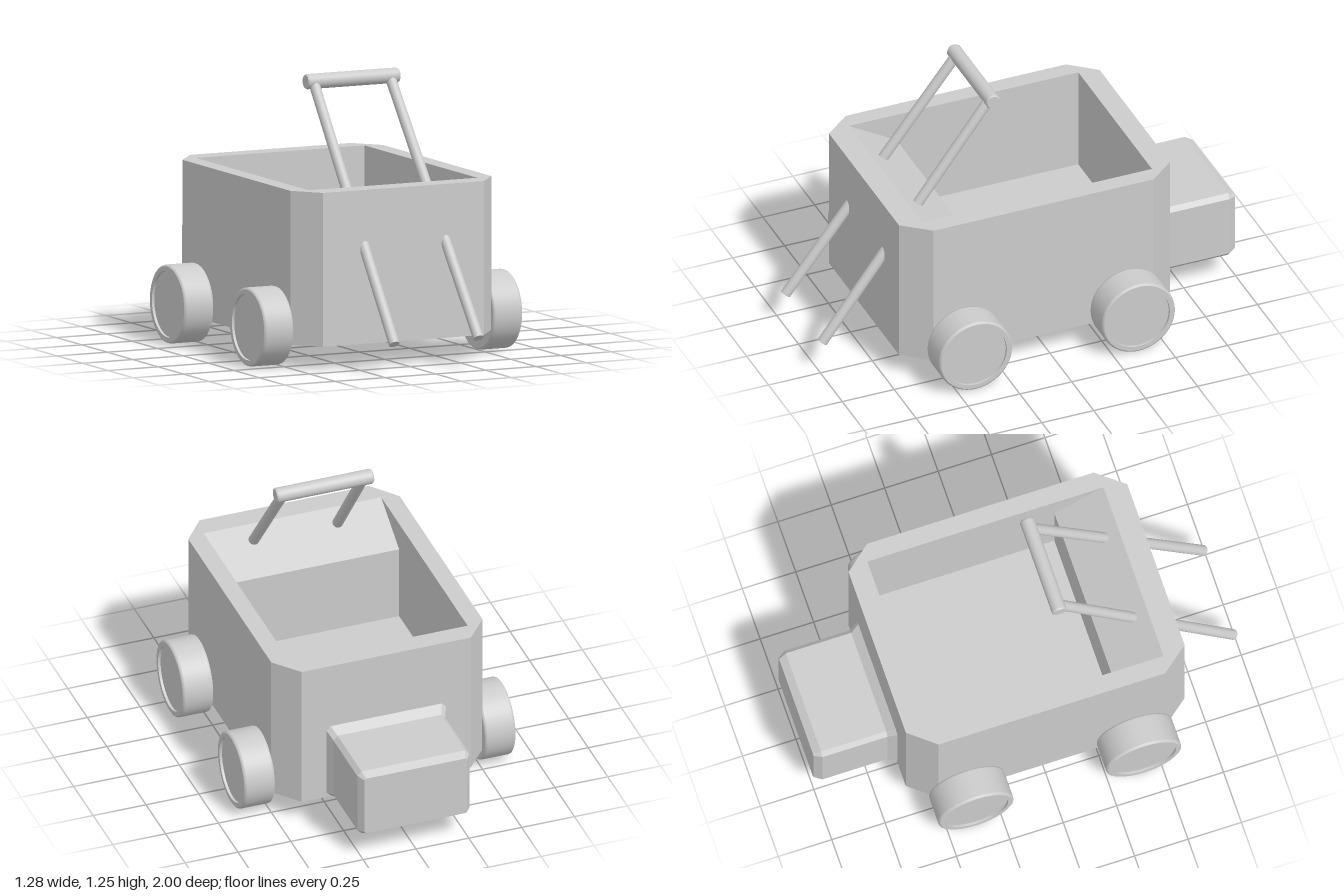
import * as THREE from 'three';

const grey = new THREE.MeshStandardMaterial({ color: 0xcccccc });
const flat = new THREE.MeshStandardMaterial({ color: 0xcccccc, flatShading: true });

function add(parent, name, geometry, material = grey) {
  const mesh = new THREE.Mesh(geometry, material);
  mesh.name = name;
  parent.add(mesh);
  return mesh;
}

const points = (list) => list.map(([a, b]) => new THREE.Vector2(a, b));

// Straight round rod between two points
function rod(a, b, radius) {
  const from = new THREE.Vector3(...a), to = new THREE.Vector3(...b);
  const dir = to.clone().sub(from);
  const geo = new THREE.CylinderGeometry(radius, radius, dir.length(), 24);
  geo.applyQuaternion(new THREE.Quaternion().setFromUnitVectors(new THREE.Vector3(0, 1, 0), dir.normalize()));
  const mid = from.add(to).multiplyScalar(0.5);
  return geo.translate(mid.x, mid.y, mid.z);
}

// Body walls: octagonal plan with a rectangular opening
function wallsGeometry() {
  const plan = new THREE.Shape(points([
    [-0.4, -0.685], [0.4, -0.685], [0.5, -0.56], [0.5, 0.5],
    [0.4, 0.62], [-0.4, 0.62], [-0.5, 0.5], [-0.5, -0.56]]));
  plan.holes.push(new THREE.Path(points([[-0.42, -0.58], [-0.42, 0.525], [0.42, 0.525], [0.42, -0.58]])));
  return new THREE.ExtrudeGeometry(plan, { depth: 0.69, bevelEnabled: false })
    .rotateX(-Math.PI / 2).translate(0, 0.11, 0);
}

// Sloping ledge inside the front of the tub
function ledgeGeometry() {
  const side = new THREE.Shape(points([[-0.585, 0.2], [-0.35, 0.2], [-0.35, 0.665], [-0.58, 0.8], [-0.585, 0.8]]));
  return new THREE.ExtrudeGeometry(side, { depth: 0.84, bevelEnabled: false })
    .rotateY(Math.PI / 2).translate(-0.42, 0, 0);
}

// Rear box: chamfered sections [z, half width, bottom, top, chamfer], flared at the body
function rearBoxGeometry() {
  const sections = [
    [-0.615, 0.285, 0.112, 0.485, 0.02],
    [-0.66, 0.265, 0.122, 0.45, 0.02],
    [-0.965, 0.265, 0.122, 0.45, 0.02],
    [-1.0, 0.243, 0.14, 0.43, 0.008]];
  const pos = [], index = [], n = 8;
  for (const [z, w, b, t, c] of sections) {
    const ring = [[w - c, b], [w, b + c], [w, t - c], [w - c, t], [c - w, t], [-w, t - c], [-w, b + c], [c - w, b]];
    for (const [x, y] of ring) pos.push(x, y, z);
  }
  for (let i = 0; i < sections.length - 1; i++) {
    for (let j = 0; j < n; j++) {
      const a = i * n + j, b = i * n + (j + 1) % n;
      index.push(a, a + n, b, b, a + n, b + n);
    }
  }
  const last = (sections.length - 1) * n;
  for (let j = 1; j < n - 1; j++) index.push(last, last + j + 1, last + j);
  const geo = new THREE.BufferGeometry();
  geo.setAttribute('position', new THREE.Float32BufferAttribute(pos, 3));
  geo.setIndex(index);
  const out = geo.toNonIndexed();
  out.computeVertexNormals();
  return out;
}

// Wheel pointing along +x, tyre edge rounded and hub face slightly recessed;
// repeated points keep the edges sharp
function wheelGeometry() {
  const profile = points([
    [0, 0], [0.168, 0], [0.168, 0], [0.174, 0.003], [0.176, 0.01], [0.176, 0.01],
    [0.176, 0.134], [0.176, 0.134], [0.174, 0.141], [0.168, 0.145], [0.168, 0.145],
    [0.148, 0.145], [0.148, 0.145], [0.148, 0.133], [0.148, 0.133], [0, 0.133]]);
  return new THREE.LatheGeometry(profile, 48).rotateZ(-Math.PI / 2);
}

export function createModel() {
  const model = new THREE.Group();
  model.name = 'pullCart';

  const body = new THREE.Group();
  body.name = 'body';
  model.add(body);
  add(body, 'walls', wallsGeometry(), flat);
  add(body, 'floor', new THREE.BoxGeometry(0.84, 0.2, 1.105).translate(0, 0.21, 0.0275), flat);
  add(body, 'frontLedge', ledgeGeometry(), flat);
  add(model, 'rearBox', rearBoxGeometry(), flat);

  // Four wheels against the body sides
  const wheel = wheelGeometry();
  for (const side of [1, -1]) {
    for (const [end, z] of [['front', 0.415], ['rear', -0.37]]) {
      const mesh = add(model, `${end}${side > 0 ? 'Left' : 'Right'}Wheel`, wheel);
      mesh.position.set(side * 0.497, 0.179, z);
      if (side < 0) mesh.rotation.y = Math.PI;
    }
  }

  // Push handle: two leaning rods running through the body, and a grip
  const handle = new THREE.Group();
  handle.name = 'handle';
  model.add(handle);
  add(handle, 'rightRod', rod([-0.196, 0.146, 0.98], [-0.183, 1.215, 0.163], 0.024));
  add(handle, 'leftRod', rod([0.223, 0.146, 0.98], [0.197, 1.215, 0.163], 0.024));
  const grip = points([
    [0, -0.229], [0.03, -0.229], [0.03, -0.229], [0.034, -0.222], [0.034, -0.222],
    [0.034, 0.222], [0.034, 0.222], [0.03, 0.229], [0.03, 0.229], [0, 0.229]]);
  add(handle, 'grip', new THREE.LatheGeometry(grip, 32).rotateZ(-Math.PI / 2).translate(0.008, 1.218, 0.16));

  return model;
}
